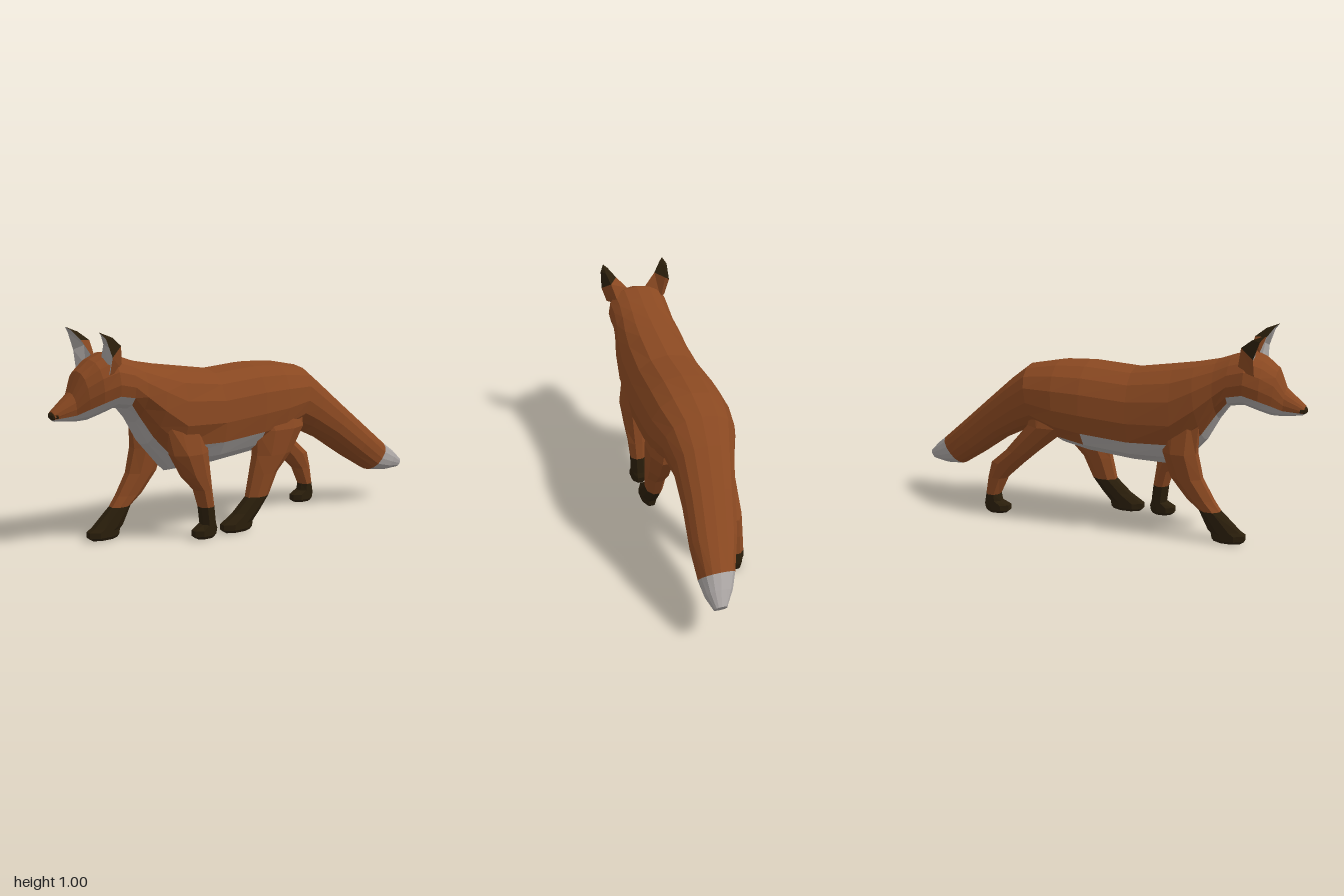
import * as THREE from 'three';

const mat = (name, color) => {
  const m = new THREE.MeshStandardMaterial({ color, flatShading: true });
  m.name = name;
  return m;
};

// Facet a tube through closed rings; pick(i, j) gives the material of each strip
function loft(name, rings, materials, pick) {
  const buckets = materials.map(() => []);
  const n = rings[0].length;
  const last = rings.length - 1;
  const add = (k, ...pts) => pts.forEach(p => buckets[k].push(p.x, p.y, p.z));
  const centre = r => r.reduce((s, p) => s.add(p), new THREE.Vector3()).divideScalar(n);
  const first = centre(rings[0]), end = centre(rings[last]);
  for (let j = 0; j < n; j++) {
    const k = (j + 1) % n;
    for (let i = 0; i < last; i++) {
      const a = rings[i][j], b = rings[i][k], c = rings[i + 1][k], d = rings[i + 1][j];
      add(pick(i, j), a, d, c, a, c, b);
    }
    // End caps
    add(pick(0, j), first, rings[0][j], rings[0][k]);
    add(pick(last - 1, j), end, rings[last][k], rings[last][j]);
  }
  const geo = new THREE.BufferGeometry();
  geo.setAttribute('position', new THREE.Float32BufferAttribute(buckets.flat(), 3));
  let start = 0;
  buckets.forEach((b, k) => {
    if (b.length) geo.addGroup(start, b.length / 3, k);
    start += b.length / 3;
  });
  geo.computeVertexNormals();
  const mesh = new THREE.Mesh(geo, materials);
  mesh.name = name;
  return mesh;
}

const soft = v => Math.sign(v) * Math.abs(v) ** 0.88;

// Oval ring between a top and a bottom point; the tail swings to the left, the chest is keeled
function bodyRing([zt, yt, zb, yb, hw]) {
  const z = (zt + zb) / 2;
  const cx = z < -0.36 ? 0.11 * ((-0.36 - z) / 0.63) ** 1.2 : 0.016 * Math.max(z, 0);
  const keel = z > 0.3 && z < 0.62 ? 0.32 : 0;
  const widest = 0.48;
  return Array.from({ length: 16 }, (_, j) => {
    const a = (j / 16) * Math.PI * 2;
    const v = -soft(Math.cos(a));
    const t = v > 0 ? widest + (1 - widest) * v : widest * (1 + v);
    const x = hw * soft(Math.sin(a)) * (1 - keel * Math.max(0, -v));
    return new THREE.Vector3(cx + x, yb + (yt - yb) * t, zb + (zt - zb) * t);
  });
}

// Level ring of a leg, swelling to the thigh and tucking into the body at the top
function legRing(cx, [y, zf, zb]) {
  const thigh = Math.min(0.062, 0.041 + 0.09 * Math.max(0, y - 0.18)) - 0.4 * Math.max(0, y - 0.5);
  const hw = y < 0.01 ? 0.033 : thigh;
  return Array.from({ length: 8 }, (_, j) => {
    const a = ((j + 0.5) / 8) * Math.PI * 2;
    return new THREE.Vector3(cx + hw * 1.05 * Math.cos(a), y, (zf + zb) / 2 - (zf - zb) * 0.54 * Math.sin(a));
  });
}

export function createModel() {
  const group = new THREE.Group();
  const orange = mat('russet fur', 0x894821);
  const white = mat('pale fur', 0xa8a3a1);
  const dark = mat('dark fur', 0x2a1e0b);
  const colours = [orange, white, dark];

  // Head, trunk and tail: top z and y, bottom z and y, half width
  const head = [
    [0.99, 0.66, 0.98, 0.615, 0.03],
    [0.90, 0.735, 0.89, 0.605, 0.062],
    [0.862, 0.825, 0.84, 0.607, 0.1],
    [0.80, 0.872, 0.79, 0.625, 0.135],
    [0.73, 0.90, 0.72, 0.65, 0.157],
  ];
  const trunk = [
    [0.65, 0.875, 0.65, 0.64, 0.155],
    [0.58, 0.85, 0.60, 0.57, 0.16],
    [0.48, 0.83, 0.54, 0.46, 0.178],
    [0.38, 0.815, 0.42, 0.32, 0.19],
    [0.18, 0.785, 0.20, 0.335, 0.198],
    [-0.05, 0.80, -0.03, 0.36, 0.206],
    [-0.20, 0.792, -0.16, 0.39, 0.202],
    [-0.36, 0.76, -0.29, 0.455, 0.176],
  ];
  const tail = [
    [-0.47, 0.675, -0.38, 0.425, 0.145],
    [-0.62, 0.545, -0.51, 0.36, 0.125],
    [-0.77, 0.415, -0.66, 0.255, 0.11],
    [-0.893, 0.31, -0.782, 0.177, 0.083],
    [-0.95, 0.265, -0.88, 0.165, 0.063],
    [-1.0, 0.215, -0.97, 0.17, 0.03],
  ];
  // Pale strips either side of the underside, by lengthwise section
  const pale = i => {
    if (i > 15) return 8;
    if (i > 11) return 0;
    if (i === 11) return 1;
    return i < 5 || i === 8 || i === 9 ? 3 : 2;
  };
  group.add(loft('body', [...head, ...trunk, ...tail].map(bodyRing), colours,
    (i, j) => (Math.min(j, 15 - j) < pale(i) ? 1 : 0)));

  // Nose
  const nose = new THREE.Mesh(new THREE.SphereGeometry(1, 8, 5), dark);
  nose.name = 'nose';
  nose.scale.set(0.038, 0.021, 0.03);
  nose.position.set(0.015, 0.639, 0.972);
  group.add(nose);

  // Legs in mid stride: rows of height, front z and back z, dark below the sock height
  const addLeg = (name, cx, sock, toe, heel, rows) => {
    const paw = [[0.045, toe, heel], [0.018, toe, heel + 0.005], [0.004, toe - 0.018, heel + 0.015]];
    const all = [...rows, ...paw];
    group.add(loft(name, all.map(r => legRing(cx, r)), colours, i => (all[i][0] <= sock ? 2 : 0)));
  };
  addLeg('leftFrontLeg', 0.142, 0.155, 0.345, 0.22, [
    [0.60, 0.50, 0.27], [0.42, 0.46, 0.275], [0.31, 0.40, 0.26],
    [0.24, 0.335, 0.25], [0.155, 0.31, 0.237], [0.07, 0.30, 0.228]]);
  addLeg('rightFrontLeg', -0.115, 0.15, 0.76, 0.60, [
    [0.60, 0.53, 0.36], [0.42, 0.52, 0.36], [0.30, 0.548, 0.40],
    [0.20, 0.605, 0.48], [0.15, 0.64, 0.54], [0.06, 0.735, 0.585]]);
  addLeg('leftHindLeg', 0.14, 0.16, 0.18, 0.01, [
    [0.62, -0.05, -0.29], [0.48, -0.01, -0.29], [0.36, -0.01, -0.22],
    [0.27, 0.01, -0.135], [0.16, 0.035, -0.085], [0.09, 0.11, -0.03]]);
  addLeg('rightHindLeg', -0.114, 0.1, -0.445, -0.577, [
    [0.60, -0.08, -0.30], [0.48, -0.12, -0.33], [0.34, -0.29, -0.45],
    [0.27, -0.37, -0.53], [0.19, -0.455, -0.552], [0.10, -0.497, -0.567], [0.065, -0.49, -0.573]]);

  // Cupped ears: each level lists back, inner edge, hollow and outer edge, closing at a tip
  const levels = [
    [[0.12, 0.83, 0.695], [0.055, 0.885, 0.76], [0.115, 0.83, 0.755], [0.165, 0.815, 0.78]],
    [[0.152, 0.938, 0.715], [0.11, 0.945, 0.778], [0.147, 0.918, 0.745], [0.19, 0.895, 0.778]],
    [[0.166, 0.978, 0.765], [0.147, 0.99, 0.81], [0.164, 0.98, 0.797], [0.185, 0.975, 0.805]],
    Array(4).fill([0.166, 1.004, 0.828]),
  ];
  for (const side of [1, -1]) {
    const order = side > 0 ? [0, 3, 2, 1] : [0, 1, 2, 3];
    const rings = levels.map(l => order.map(k =>
      new THREE.Vector3(0.006 + side * (l[k][0] - 0.006), l[k][1], l[k][2])));
    group.add(loft(side > 0 ? 'leftEar' : 'rightEar', rings, colours,
      (i, j) => (j === 1 || j === 2 ? 1 : i > 0 ? 2 : 0)));
  }
  return group;
}
